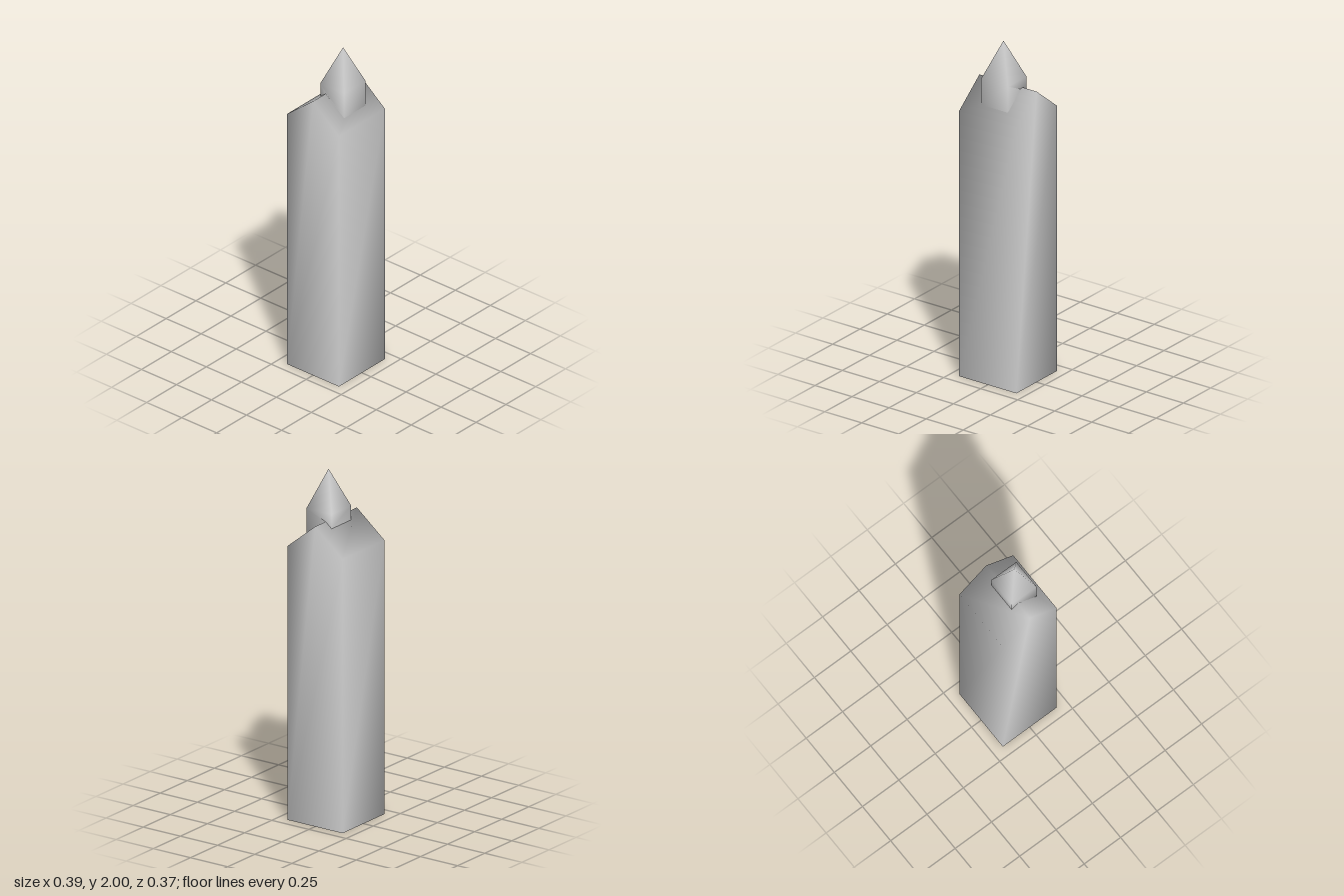
import * as THREE from 'three';

const HALF_X = 0.193, HALF_Z = 0.185, EAVE = 1.58, RIDGE = 1.73;

// Smooth-shaded surface from shared corners and convex polygons (counter-clockwise from outside)
function surface(name, points, polygons) {
  const index = [];
  for (const p of polygons) {
    for (let i = 1; i < p.length - 1; i++) index.push(p[0], p[i], p[i + 1]);
  }
  const geometry = new THREE.BufferGeometry();
  geometry.setAttribute('position', new THREE.Float32BufferAttribute(points.flat(), 3));
  geometry.setIndex(index);
  geometry.computeVertexNormals();
  const material = new THREE.MeshStandardMaterial({ color: 0xcccccc, side: THREE.DoubleSide });
  const mesh = new THREE.Mesh(geometry, material);
  mesh.name = name;
  return mesh;
}

// Four corners at one height: front right, front left, back left, back right
const ring = (x0, x1, z0, z1, y) => [[x0, y, z1], [x1, y, z1], [x1, y, z0], [x0, y, z0]];

const roofHeight = (z) => RIDGE - (RIDGE - EAVE) * Math.abs(z) / HALF_Z;

export function createModel() {
  const model = new THREE.Group();
  model.name = 'tower';

  // Tall shaft, open underneath, under a gable roof whose ridge runs along x
  model.add(surface('gabledShaft', [
    ...ring(-HALF_X, HALF_X, -HALF_Z, HALF_Z, 0),
    ...ring(-HALF_X, HALF_X, -HALF_Z, HALF_Z, EAVE),
    [-HALF_X, RIDGE, 0], [HALF_X, RIDGE, 0],
  ], [
    [0, 1, 5, 4], [2, 3, 7, 6],        // front and back walls
    [1, 2, 6, 9, 5], [3, 0, 4, 8, 7],  // gable ends
    [4, 5, 9, 8], [6, 7, 8, 9],        // roof slopes
  ]));

  // Small turret straddling the ridge, its foot following the roof, with a pointed cap
  const foot = ring(-0.085, 0.095, -0.04, 0.13, 0).map(([x, , z]) => [x, roofHeight(z), z]);
  model.add(surface('turret', [
    ...foot,
    ...ring(-0.085, 0.095, -0.04, 0.13, 1.78),
    [-0.085, RIDGE, 0], [0.095, RIDGE, 0],
    [0.004, 2, 0.047],
  ], [
    [0, 1, 5, 4], [2, 3, 7, 6],        // front and back
    [5, 1, 9, 2, 6], [7, 3, 8, 0, 4],  // sides, notched over the ridge
    [4, 5, 10], [5, 6, 10], [6, 7, 10], [7, 4, 10], // spire
  ]));

  return model;
}
